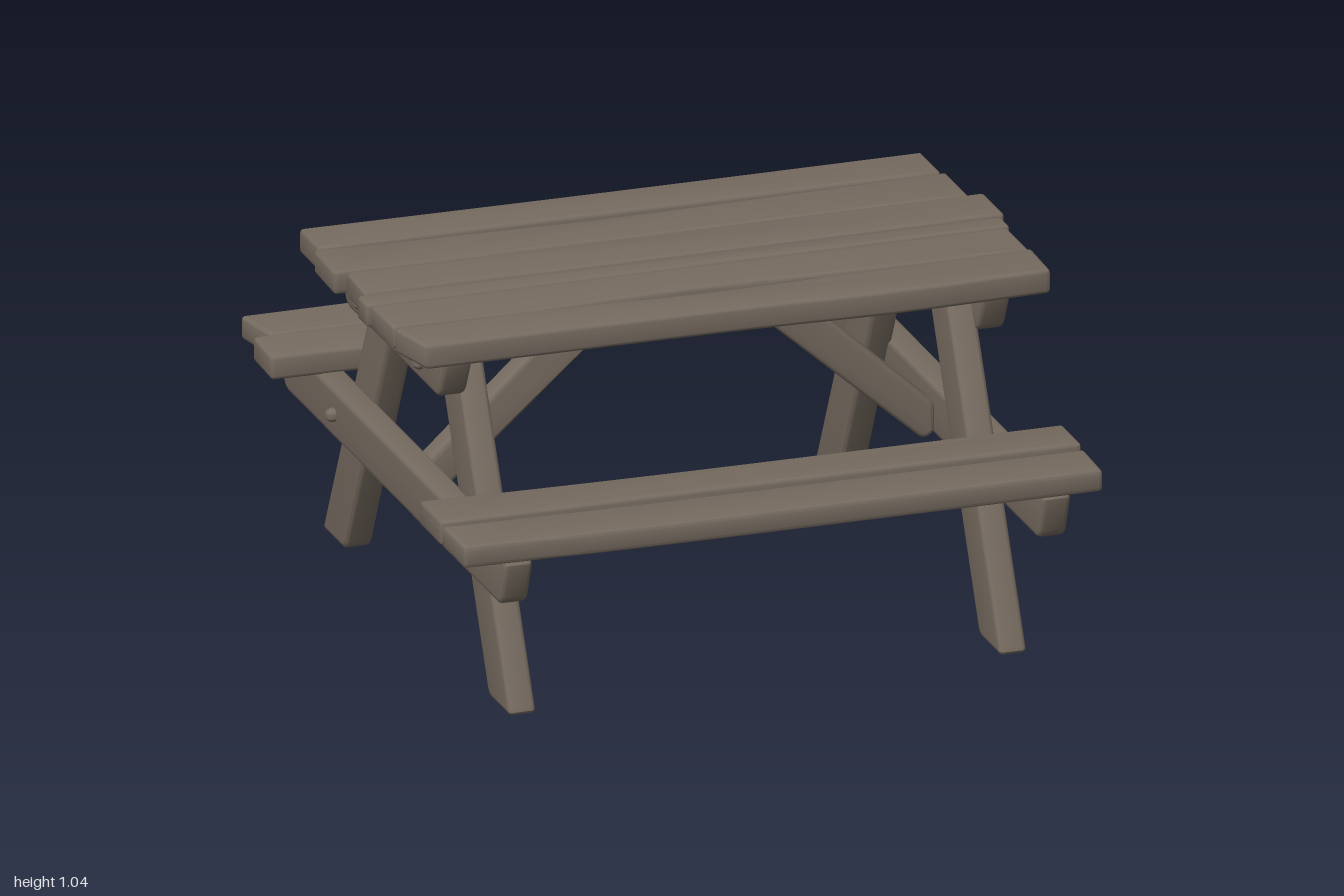
import * as THREE from 'three';
import { toCreasedNormals } from 'three/addons/utils/BufferGeometryUtils.js';

const wood = new THREE.MeshStandardMaterial({ color: 0x766b60 });
wood.name = 'weathered wood';

// Closed outline with softened corners
function roundedShape(points, r) {
  const p = points.map(([x, y]) => new THREE.Vector2(x, y));
  const shape = new THREE.Shape();
  const toward = (a, b) => a.clone().lerp(b, Math.min(0.4, r / a.distanceTo(b)));
  p.forEach((c, i) => {
    const a = toward(c, p[(i + p.length - 1) % p.length]);
    const b = toward(c, p[(i + 1) % p.length]);
    if (i === 0) shape.moveTo(a.x, a.y);
    else shape.lineTo(a.x, a.y);
    shape.quadraticCurveTo(c.x, c.y, b.x, b.y);
  });
  shape.closePath();
  return shape;
}

// Timber of a given thickness with rounded edges, centred along the extrusion
function timber(points, thickness, corner = 0.02, bevel = 0.014) {
  const g = new THREE.ExtrudeGeometry(roundedShape(points, corner), {
    depth: thickness - 2 * bevel, curveSegments: 3,
    bevelEnabled: true, bevelThickness: bevel, bevelSize: bevel,
    bevelOffset: -bevel, bevelSegments: 3,
  });
  g.translate(0, 0, -thickness / 2 + bevel);
  return g;
}

function add(group, name, geometry, x = 0, y = 0, z = 0) {
  const mesh = new THREE.Mesh(toCreasedNormals(geometry, 0.7), wood);
  mesh.name = name;
  mesh.position.set(x, y, z);
  group.add(mesh);
}

// Board lying flat; back and front edges are curves through [x, z] points
function plank(group, name, bottom, top, back, front) {
  const edge = (pts) => new THREE.SplineCurve(
    pts.map(([x, z]) => new THREE.Vector2(x, -z))).getPoints(12).map((v) => [v.x, v.y]);
  const g = timber([...edge(front), ...edge(back).reverse()], top - bottom, 0.012, 0.012);
  g.rotateX(-Math.PI / 2);
  add(group, name, g, 0, (bottom + top) / 2, 0);
}

// Timber drawn as a [z, y] profile and extruded across x
function sideTimber(group, name, profile, x, thickness, corner) {
  const g = timber(profile.map(([z, y]) => [-z, y]), thickness, corner);
  g.rotateY(Math.PI / 2);
  add(group, name, g, x);
}

export function createModel() {
  const model = new THREE.Group();
  model.name = 'picnicTable';

  // Tabletop boards, back to front: back edge, front edge
  const tabletop = new THREE.Group();
  tabletop.name = 'tabletop';
  model.add(tabletop);
  [
    [1.04, [[-0.955, -0.525], [0, -0.52], [0.93, -0.525]], [[-0.955, -0.36], [0, -0.355], [0.93, -0.355]]],
    [1.037, [[-0.97, -0.355], [-0.5, -0.335], [0, -0.325], [0.945, -0.355]], [[-0.975, -0.165], [0, -0.155], [0.945, -0.155]]],
    [1.04, [[-0.945, -0.145], [0, -0.145], [0.99, -0.155]], [[-0.95, 0.033], [0, 0.03], [0.99, 0.025]]],
    [1.037, [[-0.975, 0.036], [0, 0.038], [0.975, 0.036]], [[-0.975, 0.117], [0, 0.116], [0.975, 0.115]]],
    [1.035, [[-0.965, 0.121], [0, 0.121], [0.965, 0.121]], [[-0.96, 0.305], [-0.5, 0.31], [0, 0.29], [0.5, 0.308], [0.965, 0.308]]],
    [1.04, [[-0.965, 0.33], [-0.5, 0.325], [0, 0.345], [0.5, 0.33], [0.97, 0.316]], [[-0.925, 0.495], [0, 0.498], [0.5, 0.513], [0.965, 0.497]]],
  ].forEach(([top, back, front]) => plank(tabletop, 'tabletopBoard', 0.965, top, back, front));

  // Bench boards
  const benches = new THREE.Group();
  benches.name = 'benches';
  model.add(benches);
  [
    ['backBenchBoard', 0.61, [[-0.97, -0.99], [0, -1], [0.965, -1]], [[-0.94, -0.818], [0, -0.818], [0.97, -0.818]]],
    ['backBenchBoard', 0.612, [[-0.995, -0.812], [-0.5, -0.812], [0, -0.792], [0.4, -0.815], [0.985, -0.785]],
      [[-1, -0.638], [-0.5, -0.628], [0, -0.618], [0.32, -0.638], [0.955, -0.615]]],
    ['frontBenchBoard', 0.615, [[-0.985, 0.607], [-0.5, 0.622], [0, 0.628], [0.955, 0.628]], [[-0.985, 0.79], [0, 0.793], [0.955, 0.793]]],
    ['frontBenchBoard', 0.605, [[-0.985, 0.8], [-0.3, 0.815], [0.955, 0.815]], [[-0.98, 0.983], [-0.3, 0.998], [0.95, 0.993]]],
  ].forEach(([name, top, back, front]) => plank(benches, name, 0.538, top, back, front));

  for (const side of [1, -1]) {
    const frame = new THREE.Group();
    frame.name = side > 0 ? 'leftFrame' : 'rightFrame';
    model.add(frame);

    // Cross beams with angled ends
    sideTimber(frame, 'benchBeam', [[-0.99, 0.542], [0.99, 0.542], [0.935, 0.393], [-0.935, 0.393]], side * 0.815, 0.085, 0.03);
    sideTimber(frame, 'tableBeam', [[-0.465, 0.968], [0.465, 0.968], [0.4, 0.837], [-0.4, 0.837]], side * 0.815, 0.085, 0.03);

    // Diagonal brace under the tabletop
    const brace = [[0.08, 0.966], [0.26, 0.966], [0.775, 0.49], [0.775, 0.4], [0.74, 0.383]];
    add(frame, 'diagonalBrace', timber(brace.map(([x, y]) => [x * side, y]), 0.08));

    for (const end of [1, -1]) {
      // Splayed leg
      sideTimber(frame, 'leg', [[0.815, 0], [0.625, 0], [0.147, 0.966], [0.33, 0.966]].map(([z, y]) => [z * end, y]), side * 0.743, 0.083, 0.025);

      // Cleat joining the leg to the tabletop
      sideTimber(frame, 'cleat', [[0.16, 0.967], [0.34, 0.967], [0.34, 0.934], [0.16, 0.934]].map(([z, y]) => [z * end, y]), side * 0.68, 0.18, 0.01);

      // Bolt heads, and the upper bolt running through to its nut
      for (const [z, y] of [[0.255, 0.897], [0.5, 0.467]]) {
        const head = new THREE.SphereGeometry(0.021, 14, 10);
        head.scale(1.1, 1, 1);
        add(frame, 'boltHead', head, side * 0.862, y, z * end);
      }
      const shaft = new THREE.CylinderGeometry(0.005, 0.005, 0.25, 8);
      shaft.rotateZ(Math.PI / 2);
      add(frame, 'boltShaft', shaft, side * 0.725, 0.897, 0.255 * end);
      const nut = new THREE.CylinderGeometry(0.02, 0.02, 0.02, 14);
      nut.rotateZ(Math.PI / 2);
      add(frame, 'boltNut', nut, side * 0.6, 0.897, 0.255 * end);
    }
  }
  return model;
}
